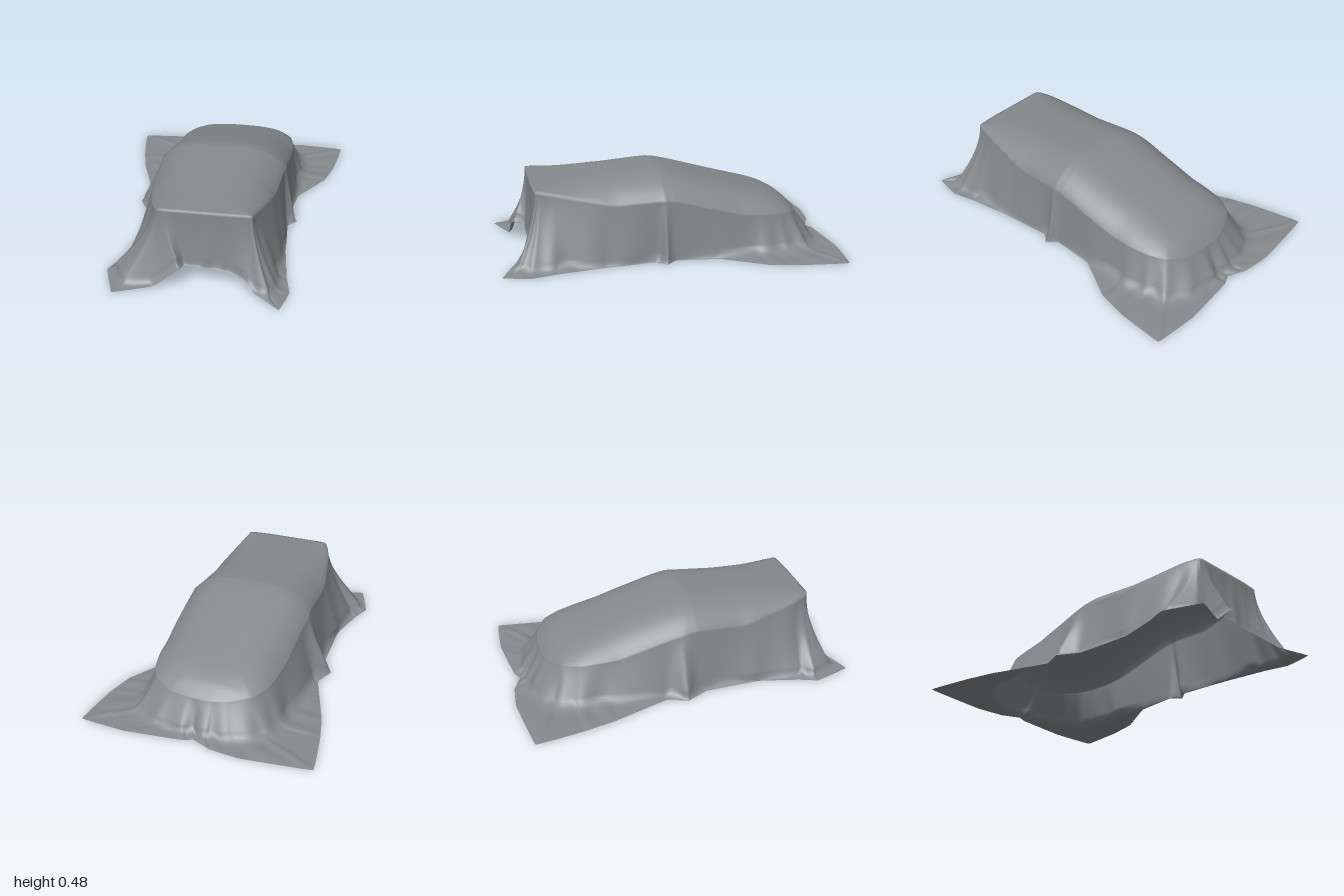
import * as THREE from 'three';

const { clamp, lerp, smoothstep } = THREE.MathUtils;

// Stations run from the front centre round the +x side, the back and the -x side.
const shoulder = [ // x, z
  [.03, .79], [.15, .79], [.26, .785], [.29, .78], [.297, .77], [.30, .75], [.318, .66], [.365, .4],
  [.39, .1], [.397, .05], [.395, 0], [.395, -.25], [.385, -.5], [.36, -.63], [.31, -.72], [.2, -.78], [.1, -.797],
  [.03, -.8], [-.05, -.797], [-.13, -.78], [-.25, -.72], [-.31, -.62], [-.335, -.45], [-.345, -.14], [-.35, -.03], [-.345, .08],
  [-.33, .4], [-.268, .68], [-.235, .76], [-.225, .775], [-.215, .785], [-.19, .79], [-.12, .79],
];
const foot = [ // x, z
  [.03, .81], [.15, .81], [.24, .83], [.33, .87], [.40, .88], [.42, .81], [.42, .68], [.42, .4],
  [.42, .1], [.455, .05], [.42, 0], [.425, -.25], [.43, -.5], [.425, -.66], [.385, -.78], [.25, -.865], [.1, -.88],
  [.03, -.87], [-.06, -.88], [-.18, -.865], [-.33, -.78], [-.38, -.66], [-.405, -.48], [-.42, -.15], [-.48, -.04], [-.412, .07],
  [-.41, .4], [-.425, .68], [-.46, .76], [-.38, .88], [-.25, .86], [-.11, .86], [-.08, .81],
];
const hem = [ // x, z, height where it hangs clear of the floor
  [.03, .82, .112], [.14, .82, .1], [.235, .84, .085], [.32, .9, .03], [.47, .995], [.51, .83], [.48, .69], [.445, .42],
  [.425, .12], [.475, .06], [.425, 0], [.45, -.25], [.6, -.5], [.645, -.68], [.675, -.96], [.4, -.985], [.07, -.955],
  [.01, -.93], [-.1, -.98], [-.28, -1], [-.68, -.96], [-.635, -.68], [-.59, -.5], [-.465, -.16], [-.51, -.04], [-.44, .09],
  [-.425, .42], [-.48, .65], [-.52, .76], [-.44, .975], [-.23, .9, .01], [-.08, .89, .13], [-.07, .82, .112],
];

const loop = (pts, tension) => new THREE.CatmullRomCurve3(
  pts.map(([x, z, y = 0]) => new THREE.Vector3(x, y, z)), true, 'catmullrom', tension);

// Height of the cover along its centre line, from front to back
const spine = [[.8, .43], [.12, .473], [.06, .476], [0, .468], [-.08, .448], [-.3, .385], [-.64, .287], [-.73, .257], [-.8, .22]];
function spineHeight(z) {
  for (let i = 1; i < spine.length; i++) {
    const [z0, y0] = spine[i - 1], [z1, y1] = spine[i];
    if (z >= z1 || i === spine.length - 1) return lerp(y0, y1, clamp((z0 - z) / (z0 - z1), 0, 1));
  }
}

function buildCover() {
  const cols = shoulder.length * 10, topRows = 14, wallRows = 20, skirtRows = 10;
  const rows = topRows + wallRows + skirtRows;
  const curves = [loop(shoulder, .3), loop(foot, .3), loop(hem, .06)]; // the hem keeps its sharp corners
  const pos = [], index = [];

  for (let i = 0; i < cols; i++) {
    const u = i / cols, [s, f, h] = curves.map((c) => c.getPoint(u));
    const spineZ = clamp(s.z, -.5, .55);
    const drop = .115 * clamp((.79 - s.z) / .45, 0, 1) * clamp((s.z + 1) / .6, 0, 1);
    const shoulderY = spineHeight(s.z) - drop;
    const hemY = Math.max(h.y, 0), footY = hemY + .05;
    const out = new THREE.Vector2(s.x - .03, s.z - spineZ).normalize();
    const flare = lerp(1.12, 1.7, smoothstep(s.z, .6, .75)); // front corners fall steeply, then spread
    const settle = 2 + Math.hypot(h.x - f.x, h.z - f.z) / .04; // wide flaps lie flat sooner
    // Irregular hanging folds, calmer across the front panel
    const a = u * Math.PI * 2;
    const calm = hemY > .05 ? .5 : 1;
    const fold = calm * (.006 * Math.sin(a * 31 + 2 * Math.sin(a * 5)) + .005 * Math.sin(a * 19 + 1));

    for (let j = 0; j <= rows; j++) {
      if (j <= topRows) { // roof and bonnet
        const k = j / topRows, z = lerp(spineZ, s.z, k);
        pos.push(lerp(.03, s.x, k), spineHeight(z) - drop * k ** 3.7, z);
      } else if (j <= topRows + wallRows) { // hanging wall
        const t = (j - topRows) / wallRows, g = t ** flare, w = fold * t;
        pos.push(lerp(s.x, f.x, g) + out.x * w, lerp(shoulderY, footY, t), lerp(s.z, f.z, g) + out.y * w);
      } else { // skirt spreading over the floor
        const t = ((j - topRows - wallRows) / skirtRows) ** 1.5, w = fold * (1 - t);
        const ripple = Math.abs(fold) * Math.sin(t * Math.PI);
        pos.push(lerp(f.x, h.x, t) + out.x * w, hemY + .05 * (1 - t) ** settle + ripple, lerp(f.z, h.z, t) + out.y * w);
      }
    }
  }
  for (let i = 0; i < cols; i++) {
    for (let j = 0; j < rows; j++) {
      const a = i * (rows + 1) + j, b = ((i + 1) % cols) * (rows + 1) + j;
      index.push(a, a + 1, b + 1, a, b + 1, b);
    }
  }
  const geo = new THREE.BufferGeometry();
  geo.setAttribute('position', new THREE.Float32BufferAttribute(pos, 3));
  geo.setIndex(index);
  geo.computeVertexNormals();
  // Blend the shading across the centre line
  const n = geo.attributes.normal;
  for (let i = 0; i < cols; i++) {
    const z = pos[i * (rows + 1) * 3 + 2];
    const v = new THREE.Vector3(0, .04, spineHeight(z - .02) - spineHeight(z + .02)).normalize();
    n.setXYZ(i * (rows + 1), 0, v.y, v.z);
  }
  return geo;
}

export function createModel() {
  const group = new THREE.Group();
  group.name = 'coveredCar';
  const cloth = new THREE.MeshStandardMaterial({ color: 0x868a8c, side: THREE.DoubleSide });
  cloth.name = 'grey cloth';
  const cover = new THREE.Mesh(buildCover(), cloth);
  cover.name = 'drapedCover';
  group.add(cover);
  return group;
}
